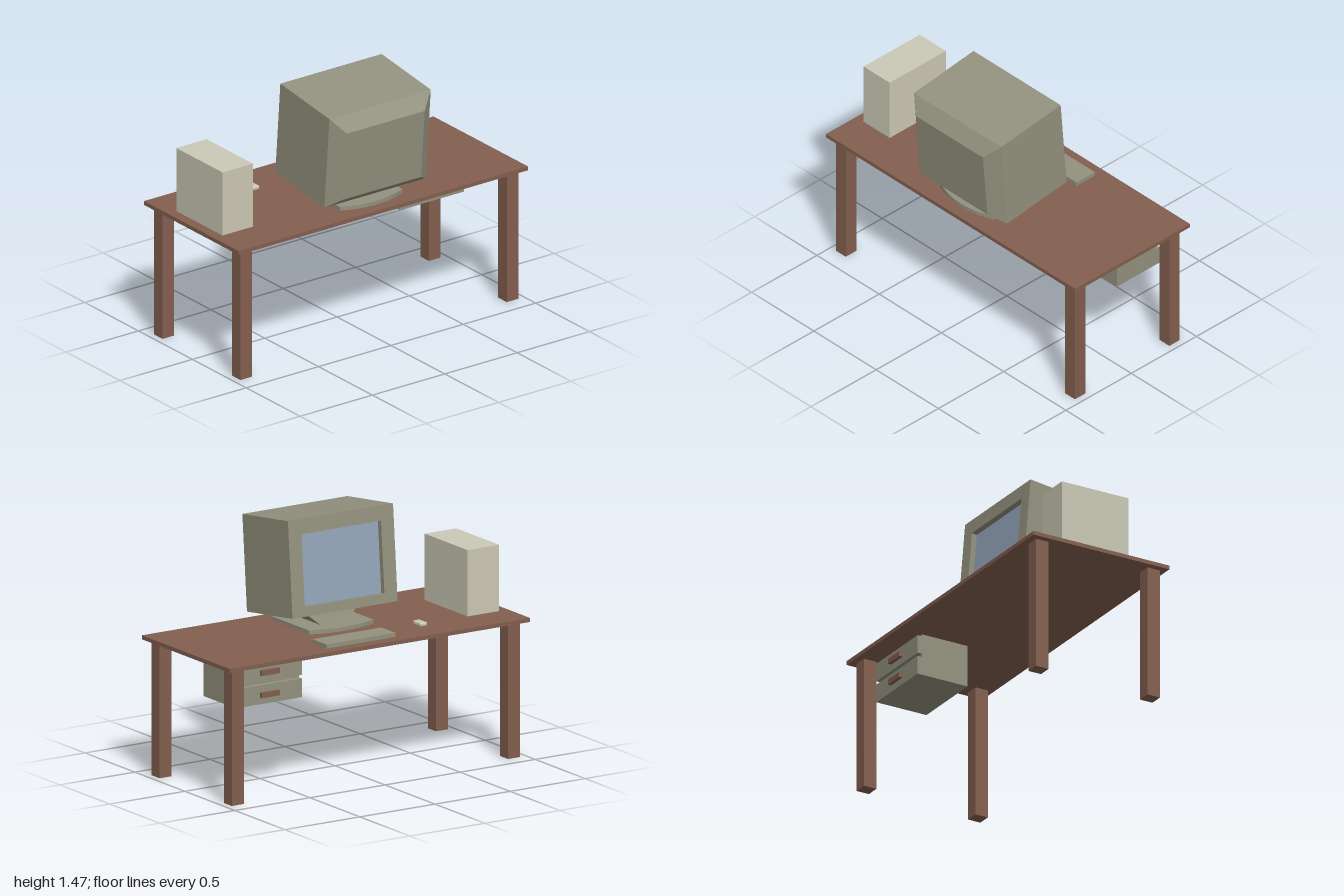
import * as THREE from 'three';
import { RoundedBoxGeometry } from 'three/addons/geometries/RoundedBoxGeometry.js';

const material = (name, color) => {
  const m = new THREE.MeshStandardMaterial({ color });
  m.name = name;
  return m;
};

// Flat-sided skin over a list of four-cornered rings; caps close first and last ring.
function loft(rings, capStart = true, capEnd = true) {
  const pos = [];
  const quad = (a, b, c, d) => [a, b, c, a, c, d].forEach((p) => pos.push(...p));
  for (let r = 0; r + 1 < rings.length; r++) {
    const a = rings[r], b = rings[r + 1];
    for (let i = 0; i < 4; i++) {
      const j = (i + 1) % 4;
      quad(a[i], b[i], b[j], a[j]);
    }
  }
  if (capStart) quad(...rings[0]);
  if (capEnd) quad(...[...rings[rings.length - 1]].reverse());
  const g = new THREE.BufferGeometry();
  g.setAttribute('position', new THREE.Float32BufferAttribute(pos, 3));
  g.computeVertexNormals();
  return g;
}

export function createModel() {
  const wood = material('brown wood', 0x835f4f);
  const grey = material('olive grey plastic', 0x93917e);
  const cream = material('cream plastic', 0xcbc8b5);
  const glass = material('blue grey glass', 0x93a5b8);

  const model = new THREE.Group();
  model.name = 'computerDesk';
  const add = (name, geometry, mat, parent = model) => {
    const mesh = new THREE.Mesh(geometry, mat);
    mesh.name = name;
    parent.add(mesh);
    return mesh;
  };
  // Box given by its limits on each axis
  const box = (name, mat, [x0, x1], [y0, y1], [z0, z1], parent) => {
    const mesh = add(name, new THREE.BoxGeometry(x1 - x0, y1 - y0, z1 - z0), mat, parent);
    mesh.position.set((x0 + x1) / 2, (y0 + y1) / 2, (z0 + z1) / 2);
    return mesh;
  };

  // Desk
  box('deskTop', wood, [-0.45, 0.43], [0.777, 0.8], [-1, 1]);
  for (const x of [-0.37, 0.353])
    for (const z of [-0.92, 0.92])
      box('deskLeg', wood, [x - 0.04, x + 0.04], [0, 0.777], [z - 0.04, z + 0.04]);

  // Drawer unit hung under the desk, with two fronts and handles
  const drawers = new THREE.Group();
  drawers.name = 'drawerUnit';
  model.add(drawers);
  box('drawerCase', grey, [-0.3, -0.005], [0.53, 0.777], [-0.88, -0.44], drawers);
  for (const [y0, y1] of [[0.53, 0.638], [0.658, 0.765]]) {
    const y = (y0 + y1) / 2;
    box('drawerFront', grey, [-0.33, -0.3], [y0, y1], [-0.88, -0.44], drawers);
    box('drawerHandle', wood, [-0.352, -0.33], [y - 0.015, y + 0.015], [-0.72, -0.6], drawers);
  }

  // Tower, keyboard and mouse
  box('computerTower', cream, [-0.23, 0.2], [0.8, 1.18], [0.73, 0.94]);
  box('keyboard', grey, [-0.38, -0.24], [0.8, 0.824], [-0.31, 0.15]);
  add('mouse', new RoundedBoxGeometry(0.08, 0.024, 0.046, 2, 0.009), cream)
    .position.set(-0.24, 0.811, 0.407);

  // Monitor: w runs from front to back, v from bottom to top of the leaning case
  const monitor = new THREE.Group();
  monitor.name = 'monitor';
  model.add(monitor);
  const point = (w, v, z) => [-0.116 + w * 0.456 + v * 0.046, 0.92 - w * 0.058 + v * 0.55, z];
  const ring = (w, v0, v1, z0, z1) =>
    [point(w, v0, z0), point(w, v0, z1), point(w, v1, z1), point(w, v1, z0)];
  const recess = ring(0.07, 0.1, 0.845, -0.275, 0.255);
  const backPlate = [[0.41, 0.915, -0.275], [0.41, 0.915, 0.262],
    [0.445, 1.325, 0.262], [0.445, 1.325, -0.275]];
  add('monitorCase', loft([
    recess,
    ring(0, 0.1, 0.845, -0.275, 0.255),
    ring(0, 0, 1, -0.36, 0.34),
    ring(1, 0, 1, -0.36, 0.34),
    backPlate,
  ], false), grey, monitor);
  add('screen', loft([recess], true, false), glass, monitor);

  // Neck flares sideways up into the case
  const neckRing = (y, cx, hx, hz) => [[cx - hx, y, -0.01 - hz], [cx + hx, y, -0.01 - hz],
    [cx + hx, y, -0.01 + hz], [cx - hx, y, -0.01 + hz]];
  add('monitorNeck', loft([neckRing(0.822, 0.12, 0.125, 0.09), neckRing(0.9, 0.11, 0.09, 0.18)]),
    grey, monitor);

  // Foot plate with bowed front and back edges
  const foot = new THREE.Shape();
  foot.moveTo(-0.19, -0.215);
  foot.lineTo(0.19, -0.215);
  foot.quadraticCurveTo(0.29, 0, 0.19, 0.215);
  foot.lineTo(-0.19, 0.215);
  foot.quadraticCurveTo(-0.275, 0, -0.19, -0.215);
  const footGeometry = new THREE.ExtrudeGeometry(foot,
    { depth: 0.023, bevelEnabled: false, curveSegments: 8 });
  footGeometry.rotateX(-Math.PI / 2);
  add('monitorFoot', footGeometry, grey, monitor).position.set(0.12, 0.8, -0.005);

  return model;
}
